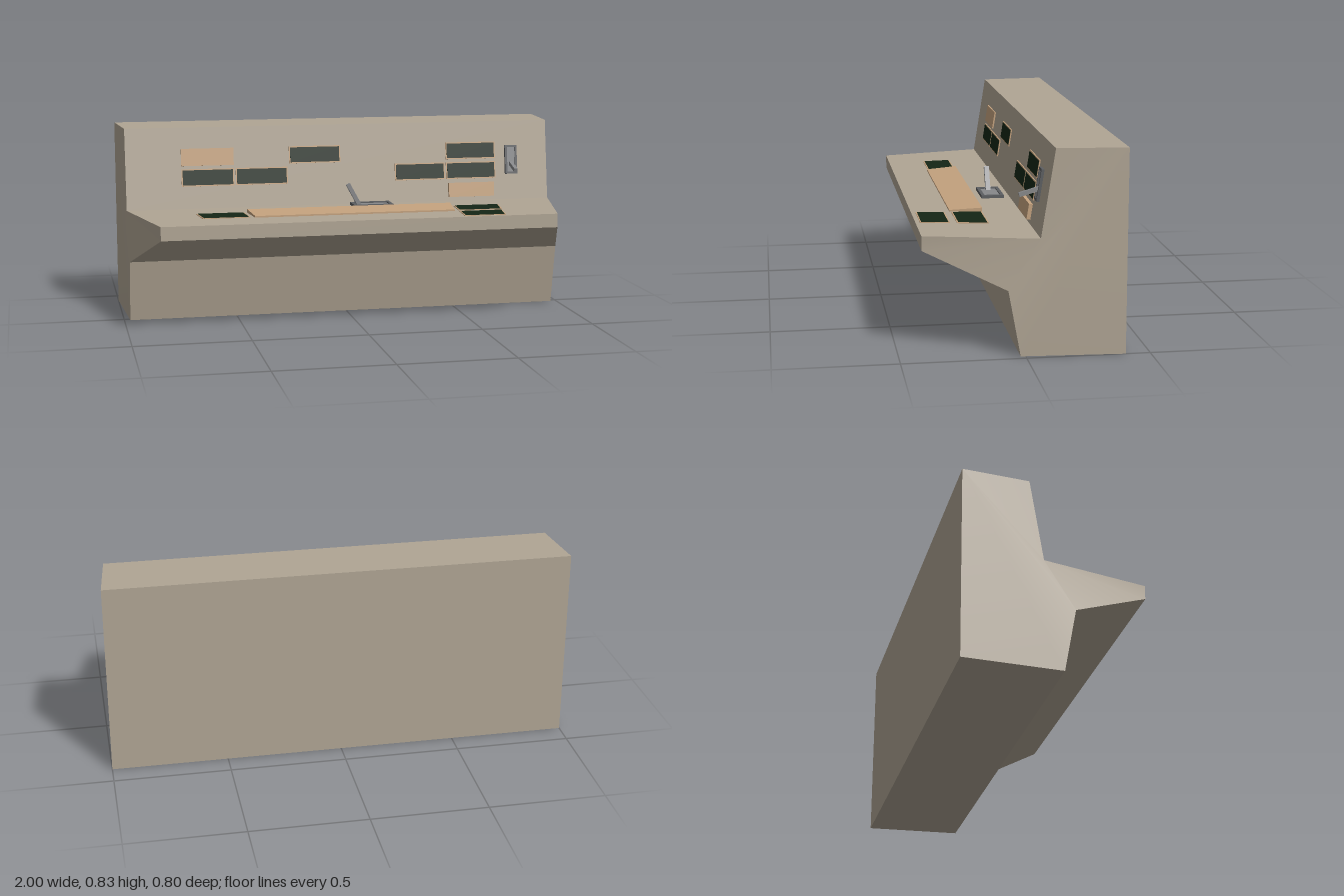
import * as THREE from 'three';
import { toCreasedNormals } from 'three/addons/utils/BufferGeometryUtils.js';

const mat = (color) => new THREE.MeshStandardMaterial({ color });
const bodyMat = mat(0xb0a594), trimMat = mat(0xc4a27e), screenMat = mat(0x142615);
const greyMat = mat(0x87888a), darkMat = mat(0x5c5e61);

// Sloped upper panel: from (z -0.058, y 0.477) to (z -0.115, y 0.835)
const DESK = 0.477;
const TILT = -Math.atan2(0.057, 0.358);
const panelZ = (y) => -0.058 - (y - DESK) * 0.057 / 0.358;

function add(parent, name, geometry, material, x = 0, y = 0, z = 0) {
  const mesh = new THREE.Mesh(geometry, material);
  mesh.name = name;
  mesh.position.set(x, y, z);
  parent.add(mesh);
  return mesh;
}

const box = (w, h, d) => new THREE.BoxGeometry(w, h, d);

// Group lying on the sloped panel, local +z pointing out of it
function onPanel(parent, name, x, y) {
  const group = new THREE.Group();
  group.name = name;
  group.position.set(x, y, panelZ(y));
  group.rotation.x = TILT;
  parent.add(group);
  return group;
}

// Flat slab on the desk from corner points [x, z], rising to a given height
function deskSlab(points, height) {
  const shape = new THREE.Shape(points.map(([x, z]) => new THREE.Vector2(x, -z)));
  const geo = new THREE.ExtrudeGeometry(shape, { depth: height, bevelEnabled: false });
  return geo.rotateX(-Math.PI / 2);
}

// Console body: side profile extruded across x, narrowing toward the front edge
function bodyGeometry() {
  const profile = [[-0.4, 0], [0.02, 0], [0.07, 0.27], [0.4, 0.417], [0.4, DESK],
    [-0.058, DESK], [-0.115, 0.835], [-0.4, 0.835]];
  const shape = new THREE.Shape(profile.map(([z, y]) => new THREE.Vector2(-z, y)));
  const geo = new THREE.ExtrudeGeometry(shape, { depth: 2, bevelEnabled: false });
  geo.rotateY(Math.PI / 2).translate(-1, 0, 0);
  const p = geo.attributes.position;
  for (let i = 0; i < p.count; i++) {
    const z = p.getZ(i);
    const half = z > 0.3 ? 0.865 : z < -0.3 ? 1 : 0.974;
    p.setX(i, Math.sign(p.getX(i)) * half);
  }
  return toCreasedNormals(geo, 0.4);
}

// Hollow rectangular housing with a recessed floor, opening along +z
function housing(parent, w, h, depth, rim) {
  const rect = (T, a, b) => new T([[-a, -b], [a, -b], [a, b], [-a, b]]
    .map(([x, y]) => new THREE.Vector2(x / 2, y / 2)));
  const shape = rect(THREE.Shape, w, h);
  shape.holes.push(rect(THREE.Path, w - 2 * rim, h - 2 * rim));
  add(parent, 'housingRim', new THREE.ExtrudeGeometry(shape, { depth, bevelEnabled: false }), darkMat);
  add(parent, 'housingFloor', box(w - 2 * rim, h - 2 * rim, depth * 0.6), greyMat, 0, 0, depth * 0.3);
}

export function createModel() {
  const model = new THREE.Group();
  model.name = 'controlConsole';
  add(model, 'consoleBody', bodyGeometry(), bodyMat);

  // Framed screens on the sloped panel
  const screens = [[-0.61, 0.613], [-0.367, 0.613], [-0.123, 0.703],
    [0.365, 0.613], [0.607, 0.613], [0.607, 0.703]];
  for (const [x, y] of screens) {
    const group = onPanel(model, 'wallScreen', x, y);
    add(group, 'screenFrame', box(0.235, 0.077, 0.01), trimMat);
    add(group, 'screenGlass', box(0.225, 0.067, 0.002), screenMat, 0, 0, 0.005);
  }

  // Plain raised plates on the sloped panel
  add(onPanel(model, 'upperPlate', -0.61, 0.703), 'plate', box(0.235, 0.077, 0.014), trimMat);
  add(onPanel(model, 'lowerPlate', 0.605, 0.525), 'plate', box(0.215, 0.065, 0.032), trimMat);

  // Framed screens set in the desk
  const deskScreens = [
    [[-0.685, 0.105], [-0.475, 0.105], [-0.465, 0.233], [-0.67, 0.233]],
    [[0.475, 0.105], [0.685, 0.105], [0.663, 0.233], [0.465, 0.233]],
    [[0.46, 0.262], [0.655, 0.262], [0.635, 0.382], [0.45, 0.382]],
  ];
  for (const corners of deskScreens) {
    const cx = corners.reduce((s, c) => s + c[0], 0) / 4;
    const cz = corners.reduce((s, c) => s + c[1], 0) / 4;
    const inner = corners.map(([x, z]) => [cx + (x - cx) * 0.94, cz + (z - cz) * 0.91]);
    const group = new THREE.Group();
    group.name = 'deskScreen';
    group.position.y = DESK;
    model.add(group);
    add(group, 'screenFrame', deskSlab(corners.slice().reverse(), 0.003), trimMat);
    add(group, 'screenGlass', deskSlab(inner.reverse(), 0.0045), screenMat);
  }

  // Long keyboard: tapered in plan, with its top sloping down to the front
  const keyboard = box(0.92, 0.016, 0.138);
  const p = keyboard.attributes.position;
  for (let i = 0; i < p.count; i++) {
    if (p.getZ(i) < 0) continue;
    p.setX(i, Math.sign(p.getX(i)) * 0.445);
    if (p.getY(i) > 0) p.setY(i, -0.001);
  }
  keyboard.computeVertexNormals();
  add(model, 'keyboard', keyboard, trimMat, 0, DESK + 0.008, 0.17);

  // Desk lever in its housing
  const deskLever = new THREE.Group();
  deskLever.name = 'deskLever';
  deskLever.position.set(0.118, DESK, 0.019);
  model.add(deskLever);
  const base = new THREE.Group();
  base.name = 'leverBase';
  base.rotation.x = -Math.PI / 2;
  deskLever.add(base);
  housing(base, 0.18, 0.098, 0.013, 0.014);
  const stick = add(deskLever, 'leverStick', box(0.018, 0.112, 0.021), greyMat, -0.083, 0.052, 0);
  stick.rotation.z = 0.5;

  // Wall lever in its housing
  const wallLever = onPanel(model, 'wallLever', 0.8, 0.657);
  housing(wallLever, 0.057, 0.133, 0.012, 0.01);
  const handle = add(model, 'wallLeverHandle', box(0.016, 0.017, 0.09), greyMat, 0.8, 0.63, -0.042);
  handle.rotation.x = 0.28;

  return model;
}
